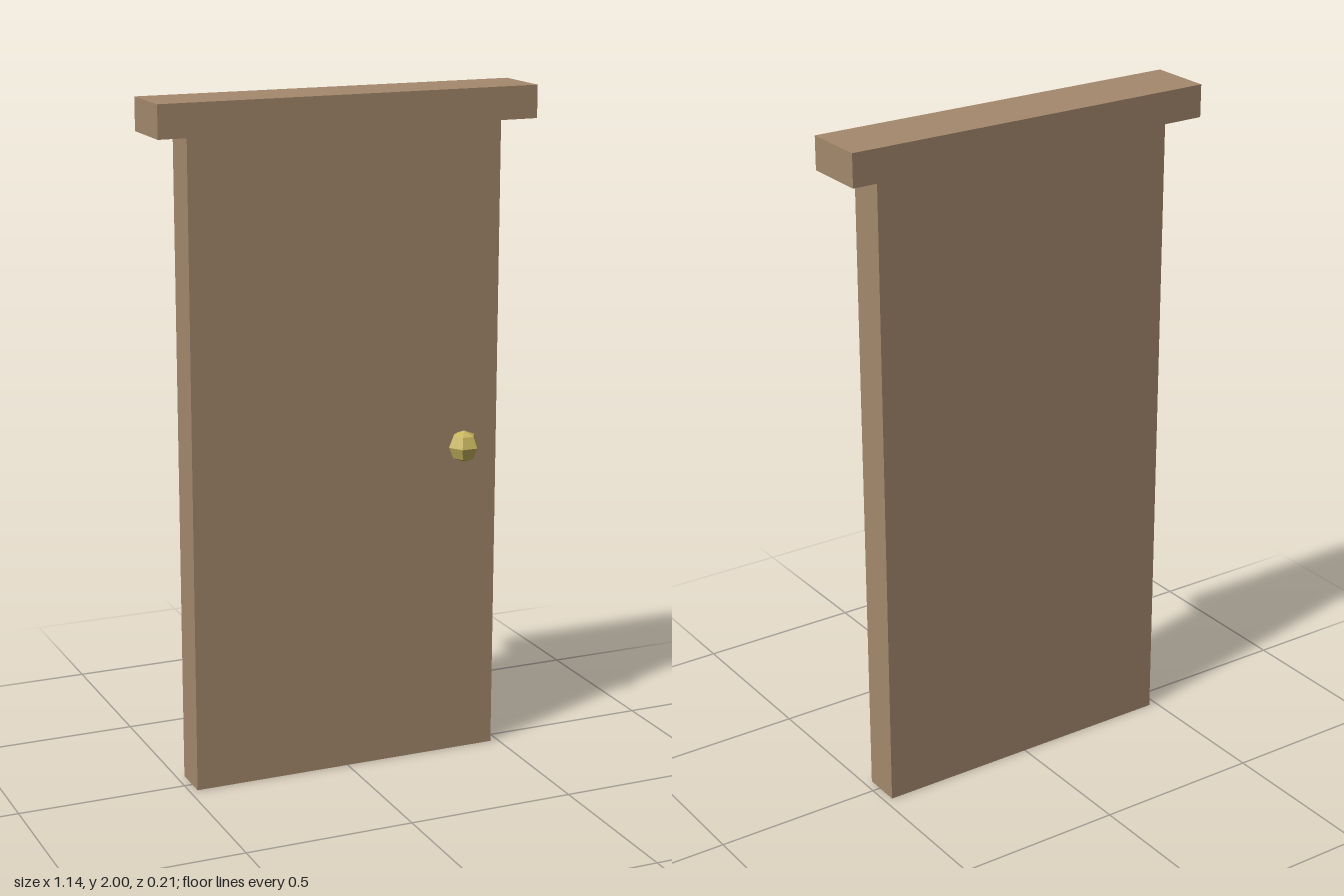
import * as THREE from 'three';

export function createModel() {
  const group = new THREE.Group();
  group.name = 'door';

  const wood = new THREE.MeshStandardMaterial({ color: 0xa5896d });
  wood.name = 'wood';
  const brass = new THREE.MeshStandardMaterial({ color: 0xc8b560 });
  brass.name = 'brass';

  const add = (name, geometry, material, x, y, z) => {
    const mesh = new THREE.Mesh(geometry, material);
    mesh.name = name;
    mesh.position.set(x, y, z);
    group.add(mesh);
  };

  // Door slab standing on the ground
  add('doorPanel', new THREE.BoxGeometry(0.952, 1.905, 0.114), wood, 0, 0.9525, -0.011);

  // Wider, deeper beam across the top
  add('lintel', new THREE.BoxGeometry(1.143, 0.095, 0.19), wood, 0, 1.9525, -0.011);

  // Faceted knob, partly sunk into the front; unindexed for flat facets
  const knob = new THREE.SphereGeometry(0.0476, 6, 4).toNonIndexed();
  knob.computeVertexNormals();
  add('knob', knob, brass, 0.362, 0.952, 0.065);

  return group;
}
